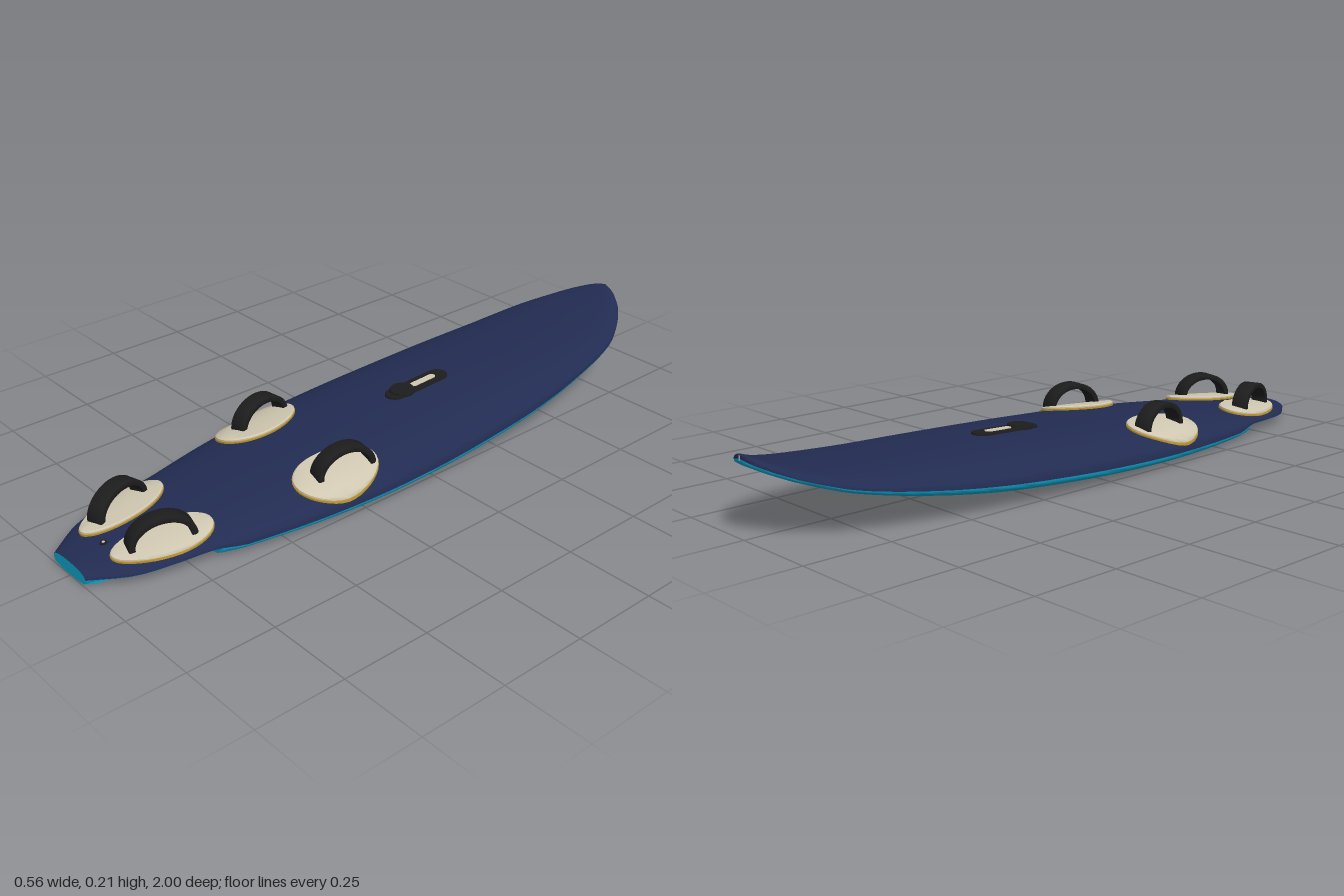
import * as THREE from 'three';
import { toCreasedNormals } from 'three/addons/utils/BufferGeometryUtils.js';

const material = (name, color) => new THREE.MeshStandardMaterial({ name, color });

// Stations from nose to tail: z, half width, bottom height, deck height
const STATIONS = [
  [-1, 0.004, 0.197, 0.211], [-0.994, 0.032, 0.188, 0.211], [-0.98, 0.06, 0.178, 0.207],
  [-0.95, 0.1, 0.162, 0.195], [-0.9, 0.141, 0.142, 0.179], [-0.8, 0.194, 0.11, 0.16],
  [-0.6, 0.235, 0.069, 0.145], [-0.4, 0.26, 0.04, 0.138], [-0.2, 0.272, 0.022, 0.131],
  [0, 0.278, 0.011, 0.122], [0.2, 0.273, 0.005, 0.111], [0.4, 0.253, 0.003, 0.097],
  [0.6, 0.216, 0.003, 0.08], [0.7, 0.19, 0.003, 0.07], [0.8, 0.172, 0.003, 0.061],
  [0.9, 0.143, 0.003, 0.051], [1, 0.075, 0.003, 0.042],
];

// Smooth interpolation between the stations
function station(z) {
  const S = STATIONS, last = S.length - 1;
  let i = 0;
  while (i < last - 1 && z > S[i + 1][0]) i++;
  const h = S[i + 1][0] - S[i][0];
  const t = THREE.MathUtils.clamp((z - S[i][0]) / h, 0, 1);
  const slope = (k, c) => {
    const a = S[Math.max(k - 1, 0)], b = S[Math.min(k + 1, last)];
    return (b[c] - a[c]) / (b[0] - a[0]);
  };
  const value = (c) => {
    const t2 = t * t, t3 = t2 * t;
    return (2 * t3 - 3 * t2 + 1) * S[i][c] + (t3 - 2 * t2 + t) * h * slope(i, c)
      + (3 * t2 - 2 * t3) * S[i + 1][c] + (t3 - t2) * h * slope(i + 1, c);
  };
  const w = value(1), bottom = value(2), top = value(3);
  const share = 0.3 + 0.2 * THREE.MathUtils.smoothstep(z, 0.6, 0.72);
  return { w, bottom, top, rail: bottom + share * (top - bottom) };
}

function deckHeight(x, z) {
  const s = station(z), u = Math.min(Math.abs(x) / s.w, 1);
  return s.rail + (s.top - s.rail) * Math.pow(1 - Math.pow(u, 2.5), 0.45);
}

// Deck half of a cross-section, from -x to +x
function deckSection(z) {
  const { w } = station(z), points = [];
  for (let j = 0; j <= 32; j++) {
    const x = w * (j === 0 ? -1 : j === 32 ? 1 : Math.sin((j / 32 - 0.5) * Math.PI));
    points.push(new THREE.Vector3(x, deckHeight(x, z), z));
  }
  return points;
}

// Bottom half from +x to -x, with recessed cutouts beside the tail
function hullSection(z) {
  const { w, bottom, rail } = station(z);
  const a = Math.min(0.085 / w, 0.9);
  const half = [1, 0.995, 0.97, 0.92, 0.8, 0.6, 0.3, 0.04].map((k) => a + (1 - a) * k).concat(a, a * 0.5);
  const us = [...half, 0, ...half.map((u) => -u).reverse()];
  return us.map((u) => {
    const edge = Math.sqrt(Math.max(0, 1 - Math.pow(Math.abs(u), 8)));
    let y = rail - (rail - bottom) * edge;
    if (z > 0.68 && w > 0.09 && Math.abs(u) > a + 1e-6) y = Math.max(y, rail - 0.007 * edge);
    return new THREE.Vector3(u * w, y, z);
  });
}

function loft(sections) {
  const n = sections[0].length, index = [];
  for (let i = 0; i < sections.length - 1; i++) {
    for (let j = 0; j < n - 1; j++) {
      const p = i * n + j, q = p + n;
      index.push(p, q, p + 1, p + 1, q, q + 1);
    }
  }
  const geometry = new THREE.BufferGeometry().setFromPoints(sections.flat());
  geometry.setIndex(index);
  return toCreasedNormals(geometry, 0.6);
}

// Rounded plate that follows the deck; stretch turns a circle into a capsule
function deckPlate({ x, z, hw, hl, low = 0, high, stretch = 0, taper = 0, angle = 0 }) {
  const bevel = Math.min(0.003, (high - low) / 2);
  const profile = [[1, low], [1, high - bevel], [0.96, high], [0.7, high], [0.35, high], [0, high]];
  const geometry = new THREE.LatheGeometry(profile.map(([r, y]) => new THREE.Vector2(r, y)), 40);
  const p = geometry.attributes.position;
  for (let i = 0; i < p.count; i++) {
    const lx = p.getX(i) * hw * (1 + taper * p.getZ(i));
    const lz = p.getZ(i) * hl + Math.sign(p.getZ(i)) * stretch;
    const px = x + lx * Math.cos(angle) + lz * Math.sin(angle);
    const pz = z - lx * Math.sin(angle) + lz * Math.cos(angle);
    p.setXYZ(i, px, deckHeight(px, pz) + p.getY(i), pz);
  }
  return toCreasedNormals(geometry, 0.6);
}

// Arched foot strap along z
function strapGeometry(length, height, width) {
  const thick = 0.017, foot = -0.018;
  const shape = new THREE.Shape();
  shape.moveTo(length, foot);
  shape.absellipse(0, 0, length, height, 0, Math.PI, false, 0);
  shape.lineTo(-length, foot);
  shape.lineTo(-length + thick, foot);
  shape.absellipse(0, 0, length - thick, height - thick, Math.PI, 0, true, 0);
  shape.lineTo(length - thick, foot);
  const bevel = 0.003;
  const geometry = new THREE.ExtrudeGeometry(shape, {
    depth: width - 2 * bevel, curveSegments: 20,
    bevelSize: bevel, bevelThickness: bevel, bevelOffset: -bevel, bevelSegments: 2,
  });
  geometry.translate(0, 0, bevel - width / 2);
  geometry.rotateY(Math.PI / 2);
  return toCreasedNormals(geometry, 0.6);
}

export function createModel() {
  const navy = material('navy deck', 0x222c52);
  const cyan = material('cyan hull', 0x0fa5ce);
  const black = material('black rubber', 0x1d1d1e);
  const beige = material('beige foam', 0xcfc7b0);
  const gold = material('gold pad edge', 0xb8922f);

  const board = new THREE.Group();
  board.name = 'sailboard';
  const add = (name, geometry, mat, parent = board) => {
    const mesh = new THREE.Mesh(geometry, mat);
    mesh.name = name;
    parent.add(mesh);
    return mesh;
  };

  // Body: stations tighten towards the nose, with a sharp step at the cutouts
  const zs = [-1, -0.998, -0.994, -0.988, -0.98, -0.965];
  for (let i = 0; i <= 65; i++) zs.push(-0.95 + i * 0.03);
  zs.push(0.679, 0.681);
  zs.sort((a, b) => a - b);
  add('deck', loft(zs.map(deckSection)), navy);
  add('hull', loft(zs.map(hullSection)), cyan);
  const outline = [...deckSection(1).reverse(), ...hullSection(1).reverse().slice(1, -1)];
  const tail = new THREE.ShapeGeometry(new THREE.Shape(outline.map((p) => new THREE.Vector2(p.x, p.y))));
  add('tailEnd', tail.translate(0, 0, 1), cyan);

  // Foot pads and straps in mirrored pairs
  const pairs = [
    { name: 'front', x: 0.176, z: 0.29, hw: 0.085, hl: 0.13, lean: 0.05, taper: 0.04,
      sx: 0.182, sz: 0.27, turn: 0.14, base: 0.1, rise: 0.072 },
    { name: 'rear', x: 0.095, z: 0.787, hw: 0.066, hl: 0.138, lean: 0.2, taper: -0.12,
      sx: 0.1, sz: 0.793, turn: 0.28, base: 0.069, rise: 0.07 },
  ];
  for (const f of pairs) {
    for (const side of [1, -1]) {
      const group = new THREE.Group();
      group.name = f.name + (side > 0 ? 'LeftFootPad' : 'RightFootPad');
      board.add(group);
      const plate = { x: side * f.x, z: f.z, taper: f.taper, angle: -side * f.lean };
      add('padEdge', deckPlate({ ...plate, hw: f.hw, hl: f.hl, low: -0.004, high: 0.008 }), gold, group);
      add('pad', deckPlate({ ...plate, hw: f.hw * 0.98, hl: f.hl * 0.985, low: 0.004, high: 0.013 }), beige, group);
      const strap = add('strap', strapGeometry(0.09, f.rise, 0.05), black, group);
      strap.position.set(side * f.sx, f.base, f.sz);
      strap.rotation.set(0.06, -side * f.turn, 0, 'YXZ');
    }
  }

  // Mast track with its slot and round base
  add('mastTrack', deckPlate({ x: 0, z: -0.165, hw: 0.031, hl: 0.031, stretch: 0.082, low: -0.002, high: 0.005 }), black);
  add('mastSlot', deckPlate({ x: 0, z: -0.19, hw: 0.011, hl: 0.011, stretch: 0.035, low: 0.002, high: 0.007 }), beige);
  add('mastBase', deckPlate({ x: 0, z: -0.108, hw: 0.036, hl: 0.036, low: 0, high: 0.011 }), black);

  // Fin bolts on the deck and the fin box below
  for (const z of [0.79, 0.9]) {
    add('finBolt', deckPlate({ x: 0, z, hw: 0.01, hl: 0.01, low: -0.002, high: 0.003 }), black);
    add('finBoltHead', deckPlate({ x: 0, z, hw: 0.004, hl: 0.004, low: 0.001, high: 0.004 }), beige);
  }
  add('finBox', new THREE.BoxGeometry(0.03, 0.006, 0.21).translate(0, 0.003, 0.825), black);

  return board;
}
